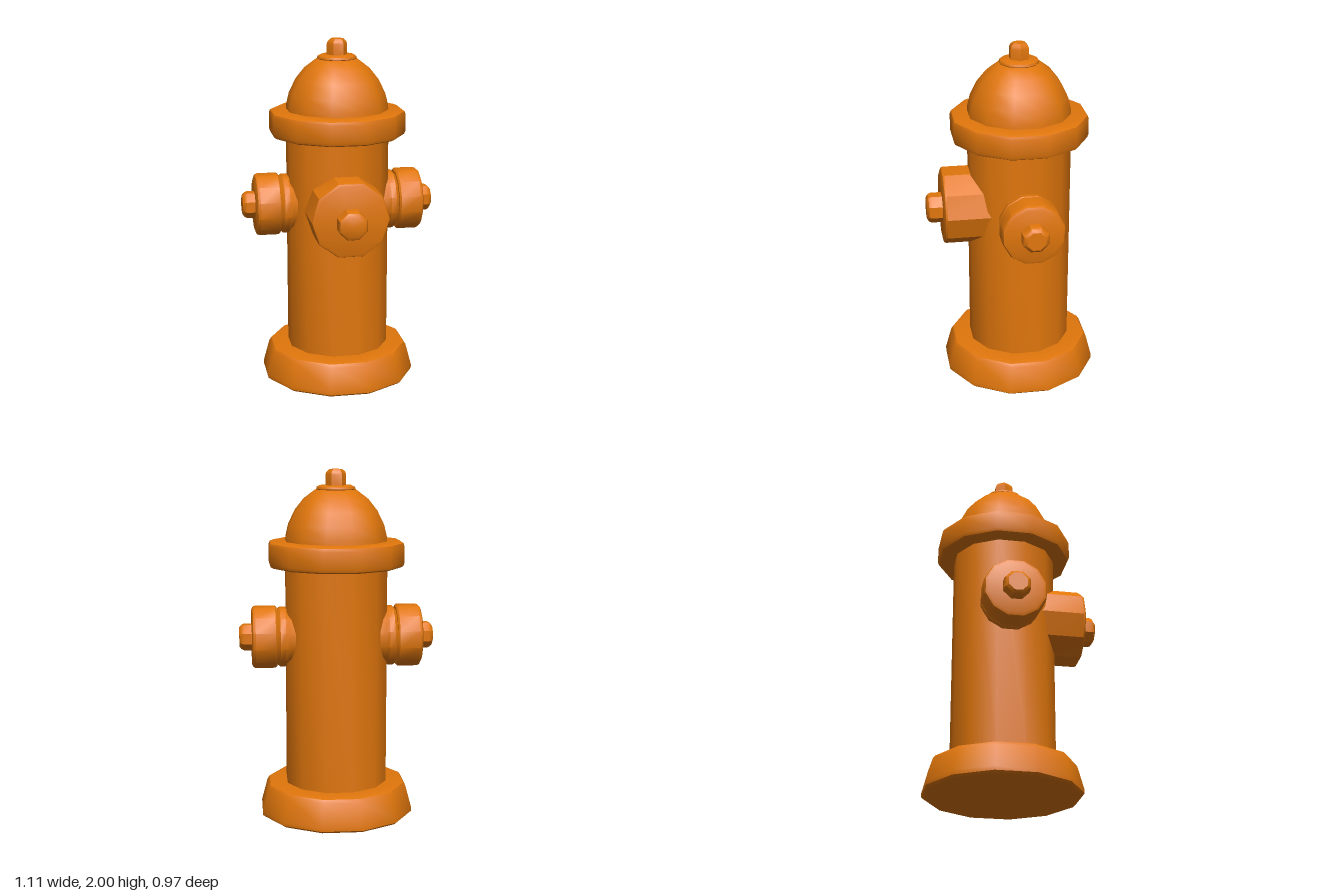
import * as THREE from 'three';
import { toCreasedNormals } from 'three/addons/utils/BufferGeometryUtils.js';

const paint = new THREE.MeshStandardMaterial({ color: 0xe0760c });
paint.name = 'orange paint';

// Turned part along +y with flat sides facing the axes; profile is [apothem, height]
function turned(name, profile, sides = 12) {
  const k = 1 / Math.cos(Math.PI / sides);
  const points = profile.map(([r, y]) => new THREE.Vector2(r * k, y));
  const geometry = new THREE.LatheGeometry(points, sides, Math.PI / sides);
  const mesh = new THREE.Mesh(toCreasedNormals(geometry, 0.62), paint);
  mesh.name = name;
  return mesh;
}

export function createModel() {
  const model = new THREE.Group();
  model.name = 'hydrant';

  // Upright barrel, base, collar and dome
  const barrel = new THREE.Group();
  barrel.name = 'barrel';
  barrel.position.z = -0.05;
  barrel.add(
    turned('base', [[0, 0], [0.42, 0], [0.434, 0.012], [0.434, 0.035], [0.4, 0.165], [0.388, 0.183], [0.365, 0.19], [0.27, 0.19]]),
    turned('column', [[0.287, 0.17], [0.287, 1.48]]),
    turned('collar', [[0.27, 1.45], [0.36, 1.45], [0.375, 1.458], [0.381, 1.475], [0.381, 1.57], [0.375, 1.588], [0.355, 1.597], [0.26, 1.597]]),
    turned('dome', [[0.286, 1.58], [0.284, 1.62], [0.268, 1.69], [0.23, 1.77], [0.18, 1.835], [0.115, 1.885], [0, 1.9]]),
    turned('domePlate', [[0.1, 1.875], [0.11, 1.89], [0.106, 1.902], [0.09, 1.91], [0, 1.91]]),
    turned('topNut', [[0.051, 1.89], [0.051, 1.97], [0.046, 1.985], [0.032, 2], [0, 2]], 6)
  );
  model.add(barrel);

  // Matching side outlets
  for (const side of [1, -1]) {
    const outlet = new THREE.Group();
    outlet.name = side > 0 ? 'leftOutlet' : 'rightOutlet';
    outlet.position.set(0, 1.048, -0.061);
    outlet.rotation.z = -side * Math.PI / 2;
    outlet.add(
      turned('outletNeck', [[0.14, 0.2], [0.155, 0.275], [0.167, 0.295], [0.167, 0.325], [0.155, 0.34], [0.14, 0.35]]),
      turned('outletCap', [[0.14, 0.342], [0.165, 0.342], [0.174, 0.352], [0.174, 0.465], [0.168, 0.479], [0.152, 0.486], [0, 0.486]]),
      turned('outletNut', [[0.073, 0.47], [0.073, 0.53], [0.066, 0.545], [0.052, 0.557], [0, 0.557]], 8)
    );
    model.add(outlet);
  }

  // Large front outlet
  const front = new THREE.Group();
  front.name = 'frontOutlet';
  front.position.y = 1.05;
  front.rotation.x = Math.PI / 2;
  const nut = turned('frontNut', [[0.08, 0.38], [0.08, 0.46], [0.074, 0.477], [0.058, 0.488], [0, 0.488]], 8);
  nut.position.z = 0.012;
  front.add(
    turned('frontCap', [[0.211, 0.05], [0.211, 0.385], [0.207, 0.395], [0.196, 0.4], [0, 0.4]], 10),
    nut
  );
  model.add(front);

  return model;
}
